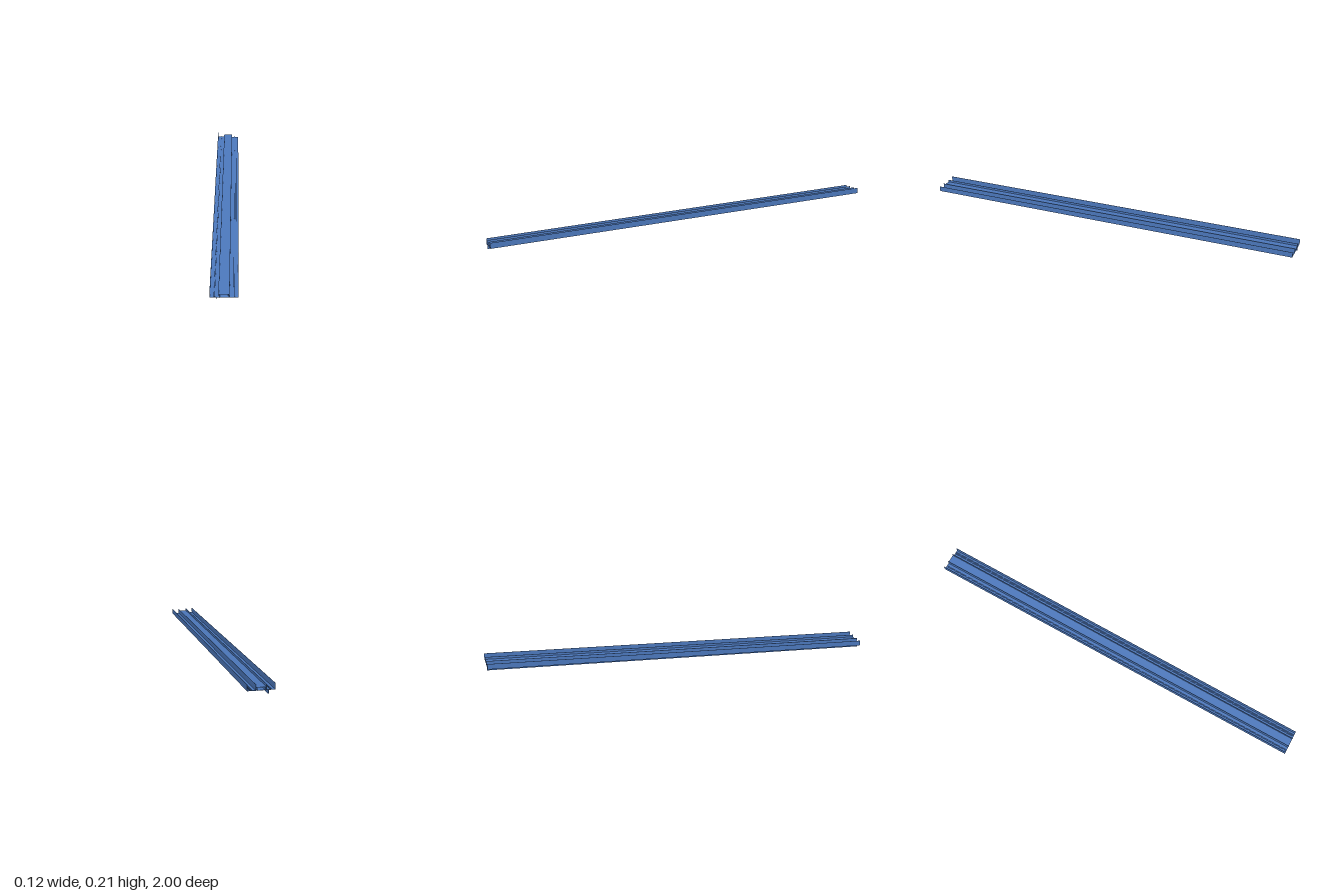
import * as THREE from 'three';

const LENGTH = 2;
const RISE = 0.167; // climb of the floor from front to back
const FLOOR = 0.02; // floor height at the front end

export function createModel() {
  const group = new THREE.Group();
  group.name = 'slopedChannelRail';
  const blue = new THREE.MeshStandardMaterial({ color: 0x4c78bc });
  blue.name = 'blue';

  // full-length strip with section x0..x1, y0..y1 (y measured from the floor), sheared to the slope
  function strip(name, x0, x1, y0, y1) {
    const geo = new THREE.BoxGeometry(x1 - x0, y1 - y0, LENGTH);
    geo.translate((x0 + x1) / 2, (y0 + y1) / 2, 0);
    const p = geo.attributes.position;
    for (let i = 0; i < p.count; i++) {
      p.setY(i, p.getY(i) + FLOOR + RISE * (1 - p.getZ(i)) / 2);
    }
    geo.computeVertexNormals();
    const mesh = new THREE.Mesh(geo, blue);
    mesh.name = name;
    group.add(mesh);
  }
  const fin = (name, x, y0, y1, t = 0.001) => strip(name, x - t / 2, x + t / 2, y0, y1);

  // base plate and raised centre deck
  strip('floor', -0.061, 0.061, -0.0005, 0.0005);
  strip('centreDeck', -0.023, 0.022, 0.0128, 0.0138);

  // tall outer and inner walls
  fin('outerWallRight', -0.0612, -0.0005, 0.028);
  fin('outerWallLeft', 0.0605, -0.0005, 0.028);
  fin('innerWallRight', -0.0235, -0.0005, 0.026, 0.0014);
  fin('innerWallLeft', 0.0225, -0.0005, 0.026, 0.0014);

  // deck supports
  for (const x of [-0.018, 0.017]) fin('deckSupport', x, -0.002, 0.013);

  // low guide lips on the floor
  for (const x of [-0.044, -0.040, 0.040, 0.045, 0.050]) fin('guideLip', x, 0, 0.004);

  // keel fin below the floor
  fin('keel', -0.032, -0.0195, 0);

  return group;
}
